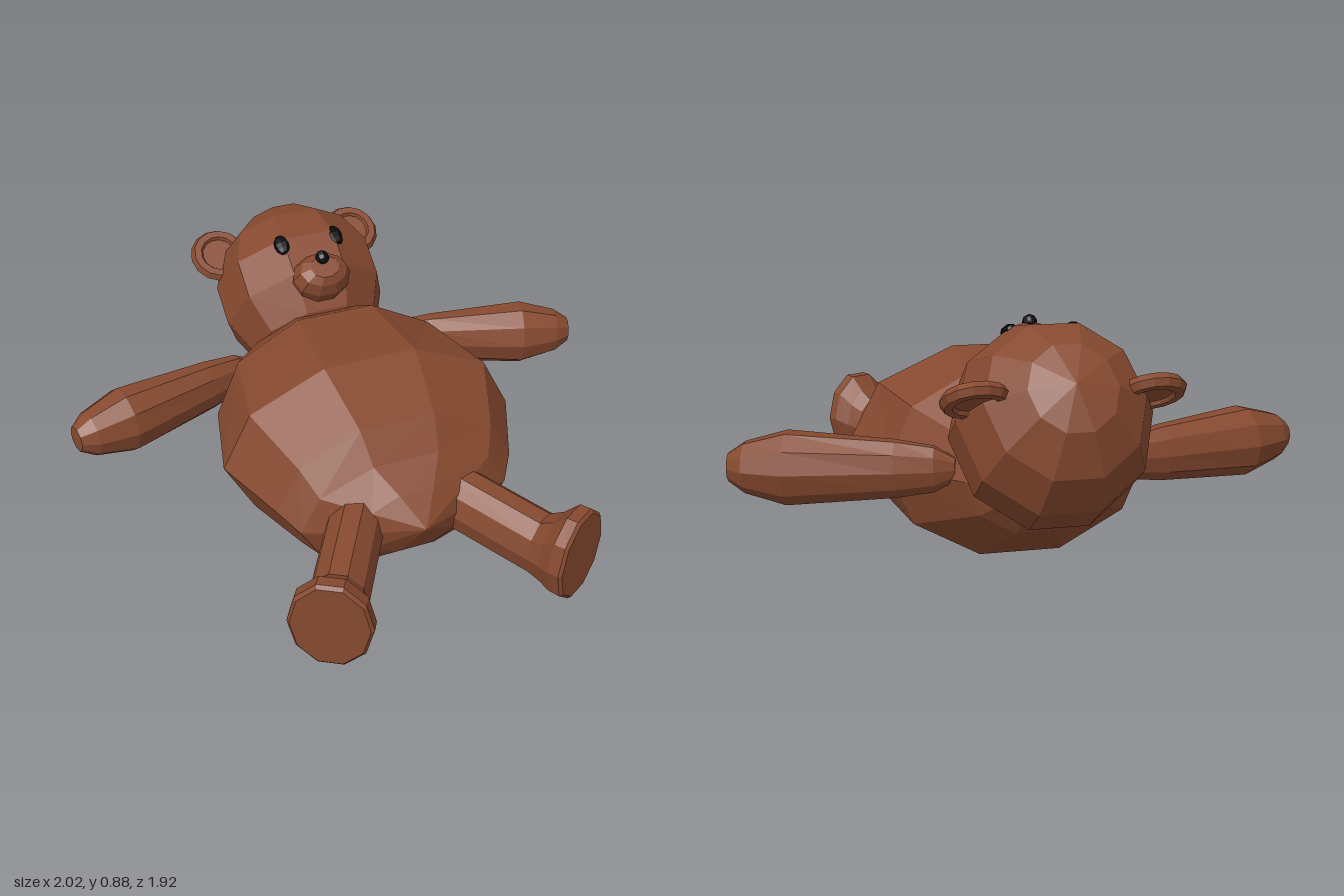
import * as THREE from 'three';

const fur = new THREE.MeshStandardMaterial({ color: 0x86492f });
fur.name = 'brownFur';
const black = new THREE.MeshStandardMaterial({ color: 0x0a0a0a });
black.name = 'blackEyes';

// Faceted mesh: every triangle gets its own normal
function facet(name, geometry, material) {
  const g = geometry.index ? geometry.toNonIndexed() : geometry;
  g.computeVertexNormals();
  const mesh = new THREE.Mesh(g, material);
  mesh.name = name;
  return mesh;
}

// Closed loft along local +z; each ring is [z, centreY, halfWidth, halfHeight]
function loft(rings, sides = 10) {
  const pos = [], idx = [], n = sides, last = (rings.length - 1) * n;
  for (const [z, cy, rx, ry] of rings) {
    for (let j = 0; j < n; j++) {
      const a = (j / n) * Math.PI * 2;
      pos.push(rx * Math.cos(a), cy + ry * Math.sin(a), z);
    }
  }
  const start = rings.length * n, end = start + 1;
  for (const r of [rings[0], rings[rings.length - 1]]) pos.push(0, r[1], r[0]);
  for (let j = 0; j < n; j++) {
    const k = (j + 1) % n;
    for (let i = 0; i < last; i += n) idx.push(i + j, i + k, i + n + k, i + j, i + n + k, i + n + j);
    idx.push(start, k, j, end, last + j, last + k);
  }
  const g = new THREE.BufferGeometry();
  g.setAttribute('position', new THREE.Float32BufferAttribute(pos, 3));
  g.setIndex(idx);
  return g;
}

function createHead() {
  const head = new THREE.Group();
  head.name = 'head';
  const skull = facet('skull', new THREE.SphereGeometry(0.342, 10, 7), fur);
  skull.scale.x = 0.96;
  head.add(skull);

  // Muzzle and nose
  const muzzle = facet('muzzle', loft([
    [0.2, -0.1, 0.1, 0.08], [0.32, -0.1, 0.112, 0.088], [0.365, -0.1, 0.09, 0.07], [0.387, -0.1, 0.055, 0.045],
  ]), fur);
  const nose = facet('nose', new THREE.SphereGeometry(0.026, 8, 6), black);
  nose.position.set(0, -0.063, 0.392);
  head.add(muzzle, nose);

  for (const s of [1, -1]) {
    const side = s > 0 ? 'left' : 'right';
    const eye = facet(side + 'Eye', new THREE.SphereGeometry(1, 8, 6), black);
    eye.scale.set(0.029, 0.044, 0.022);
    eye.position.set(s * 0.107, 0.058, 0.305);
    eye.rotation.set(-0.18, s * 0.33, 0);

    // Ear: rim around a thin inner disc
    const ear = new THREE.Group();
    ear.name = side + 'Ear';
    const rim = facet('earRim', new THREE.TorusGeometry(0.085, 0.026, 6, 14), fur);
    const inner = facet('earInner', new THREE.CylinderGeometry(0.085, 0.085, 0.02, 14), fur);
    inner.rotation.x = Math.PI / 2;
    ear.add(rim, inner);
    ear.position.set(s * 0.278, 0.205, 0.017);
    head.add(eye, ear);
  }
  head.position.set(0, 0.56, -0.635);
  head.rotation.x = -0.98;
  return head;
}

export function createModel() {
  const bear = new THREE.Group();
  bear.name = 'bear';

  // Reclining torso, from neck to bottom
  bear.add(facet('body', loft([
    [-0.56, 0.36, 0.17, 0.13],
    [-0.5, 0.35, 0.25, 0.2],
    [-0.24, 0.345, 0.47, 0.355],
    [0.11, 0.37, 0.55, 0.345],
    [0.36, 0.335, 0.44, 0.275],
    [0.44, 0.29, 0.385, 0.215],
    [0.53, 0.3, 0.2, 0.13],
    [0.62, 0.33, 0.004, 0.004],
  ]), fur));
  bear.add(createHead());

  for (const s of [1, -1]) {
    const side = s > 0 ? 'left' : 'right';

    // Arm widening from shoulder to paw
    const arm = facet(side + 'Arm', loft([
      [0, 0, 0.02, 0.04], [0.07, 0, 0.05, 0.08], [0.2, 0, 0.072, 0.1],
      [0.56, 0, 0.115, 0.127], [0.7, 0, 0.082, 0.088], [0.755, 0, 0.045, 0.05],
    ]), fur);
    arm.position.set(s * 0.27, 0.38, -0.44);
    arm.rotation.y = s * 1.293;

    // Leg flaring into a flat-soled foot
    const leg = facet(side + 'Leg', loft([
      [-0.56, 0.01, 0.1, 0.12], [-0.15, -0.03, 0.1, 0.118], [-0.1, -0.02, 0.115, 0.14],
      [-0.05, 0, 0.14, 0.175], [-0.01, 0, 0.14, 0.178], [0, 0, 0.13, 0.165],
    ]), fur);
    leg.position.set(s * 0.445, 0.29, 0.885);
    leg.rotation.y = s * 0.54;
    bear.add(arm, leg);
  }
  return bear;
}
